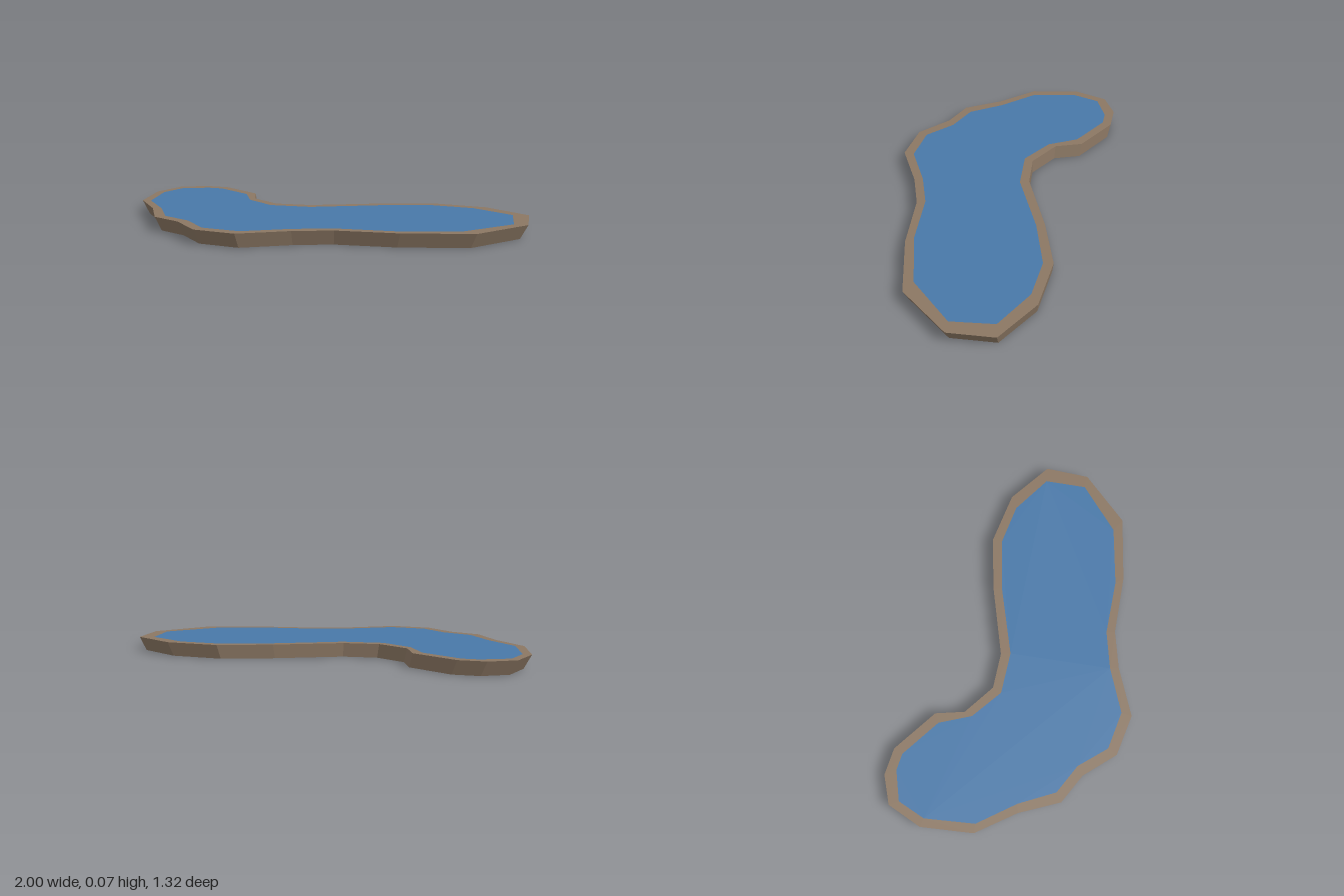
import * as THREE from 'three';

// Shoreline corners [x, z], clockwise from above
const OUTER = [
  [-0.84, -0.64], [-0.69, -0.66], [-0.56, -0.61], [-0.39, -0.4], [-0.39, -0.25], [-0.27, -0.1],
  [-0.09, -0.05], [0.28, -0.07], [0.57, -0.06], [0.83, 0.06], [1, 0.27], [0.935, 0.49],
  [0.65, 0.66], [0.3, 0.63], [0, 0.555], [-0.2, 0.555], [-0.46, 0.595], [-0.655, 0.5],
  [-0.75, 0.32], [-0.875, 0.205], [-0.915, -0.01], [-1, -0.23], [-0.955, -0.49],
];
// Matching corners of the water's edge
const INNER = [
  [-0.825, -0.59], [-0.67, -0.6], [-0.59, -0.57], [-0.44, -0.385], [-0.415, -0.215], [-0.3, -0.06],
  [-0.09, 0], [0.28, -0.025], [0.56, -0.01], [0.76, 0.08], [0.92, 0.26], [0.87, 0.47],
  [0.595, 0.605], [0.28, 0.585], [0, 0.51], [-0.2, 0.51], [-0.44, 0.545], [-0.62, 0.46],
  [-0.7, 0.3], [-0.825, 0.185], [-0.87, -0.01], [-0.955, -0.22], [-0.915, -0.47],
];
const TOP = 0.072;
const BASE_SCALE = 0.964;

// Flat-faced strip joining two loops of equal length
function band(loopA, yA, loopB, yB) {
  const pos = [];
  const n = loopA.length;
  for (let i = 0; i < n; i++) {
    const j = (i + 1) % n;
    const at = (loop, k, y) => [loop[k][0], y, loop[k][1]];
    const a0 = at(loopA, i, yA), a1 = at(loopA, j, yA);
    const b0 = at(loopB, i, yB), b1 = at(loopB, j, yB);
    pos.push(...a0, ...b0, ...b1, ...a0, ...b1, ...a1);
  }
  const geo = new THREE.BufferGeometry();
  geo.setAttribute('position', new THREE.Float32BufferAttribute(pos, 3));
  geo.computeVertexNormals();
  return geo;
}

// Level face filling a loop; dir is 1 for facing up, -1 for facing down
function cap(loop, y, dir) {
  const shape = new THREE.Shape(loop.map(([x, z]) => new THREE.Vector2(x, -dir * z)));
  return new THREE.ShapeGeometry(shape).rotateX(-dir * Math.PI / 2).translate(0, y, 0);
}

export function createModel() {
  const group = new THREE.Group();
  group.name = 'pond';
  const earth = new THREE.MeshStandardMaterial({ color: 0x8b7763, flatShading: true });
  earth.name = 'earth brown';
  const blue = new THREE.MeshStandardMaterial({ color: 0x4878a8, flatShading: true });
  blue.name = 'water blue';

  const add = (name, geo, mat) => {
    const mesh = new THREE.Mesh(geo, mat);
    mesh.name = name;
    group.add(mesh);
  };

  // The bank tapers towards a slightly smaller base
  const base = OUTER.map(([x, z]) => [x * BASE_SCALE, z * BASE_SCALE]);
  add('bankSide', band(base, 0, OUTER, TOP), earth);
  add('bankRim', band(OUTER, TOP, INNER, TOP), earth);
  add('bankBase', cap(base, 0, -1), earth);
  add('water', cap(INNER, TOP, 1), blue);
  return group;
}
